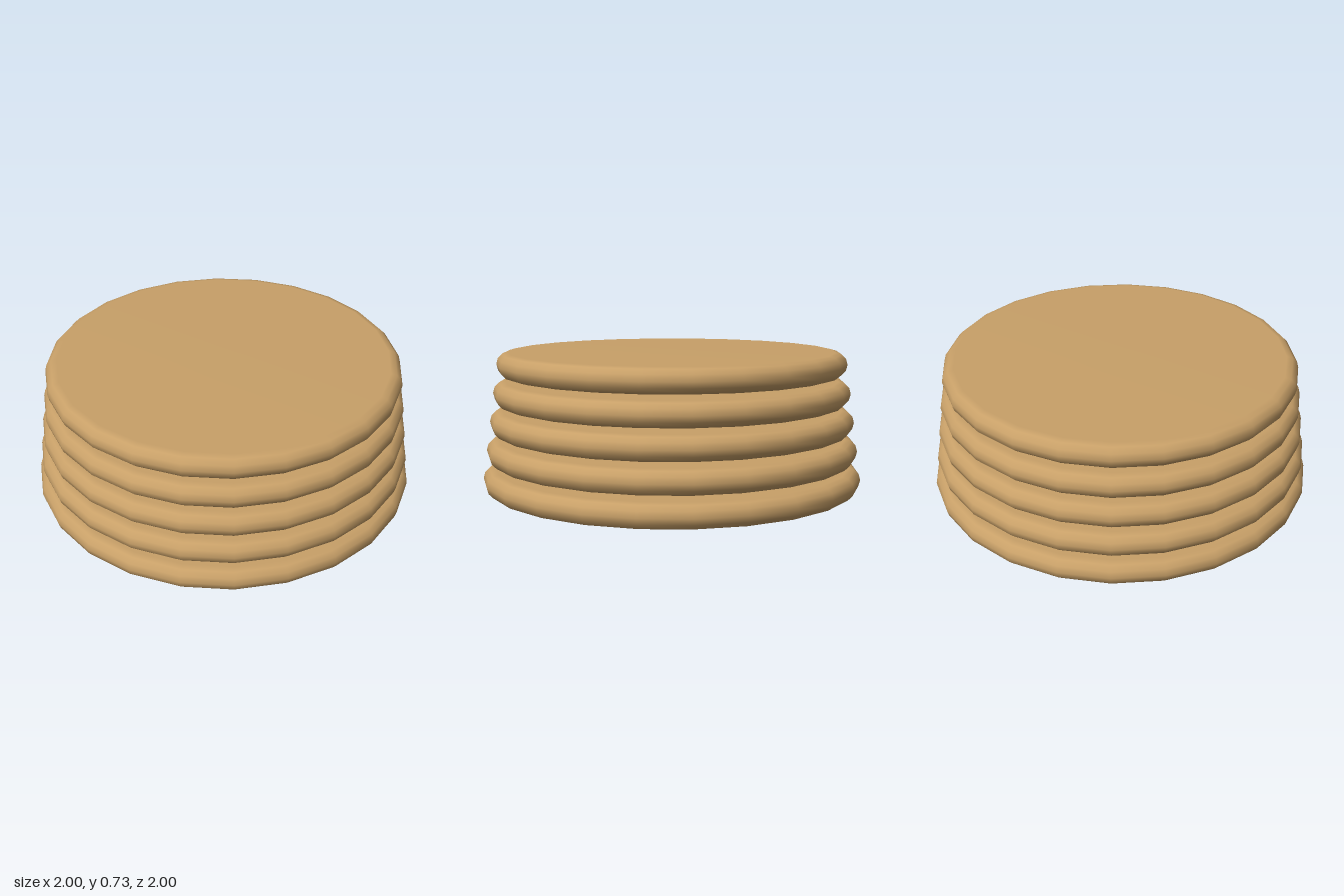
import * as THREE from 'three';

const HEIGHT = 0.127;   // thickness of each disc
const SPACING = 0.151;  // distance from one disc to the next
const COUNT = 5;

// Flat disc with a rounded rim
function discGeometry(radius) {
  const r = HEIGHT / 2;
  const profile = [new THREE.Vector2(0, 0)];
  for (let i = 0; i <= 6; i++) {
    const a = -Math.PI / 2 + (i / 6) * Math.PI;
    profile.push(new THREE.Vector2(radius - r + r * Math.cos(a), r + r * Math.sin(a)));
  }
  profile.push(new THREE.Vector2(0, HEIGHT));
  return new THREE.LatheGeometry(profile, 24);
}

export function createModel() {
  const group = new THREE.Group();
  group.name = 'discStack';
  const tan = new THREE.MeshStandardMaterial({ color: 0xc8a068 });
  tan.name = 'tan';

  // Stack of discs, each slightly smaller than the one below
  for (let i = 0; i < COUNT; i++) {
    const disc = new THREE.Mesh(discGeometry(1 - i * 0.02), tan);
    disc.name = `disc${i + 1}`;
    disc.position.y = i * SPACING;
    group.add(disc);
  }
  return group;
}
